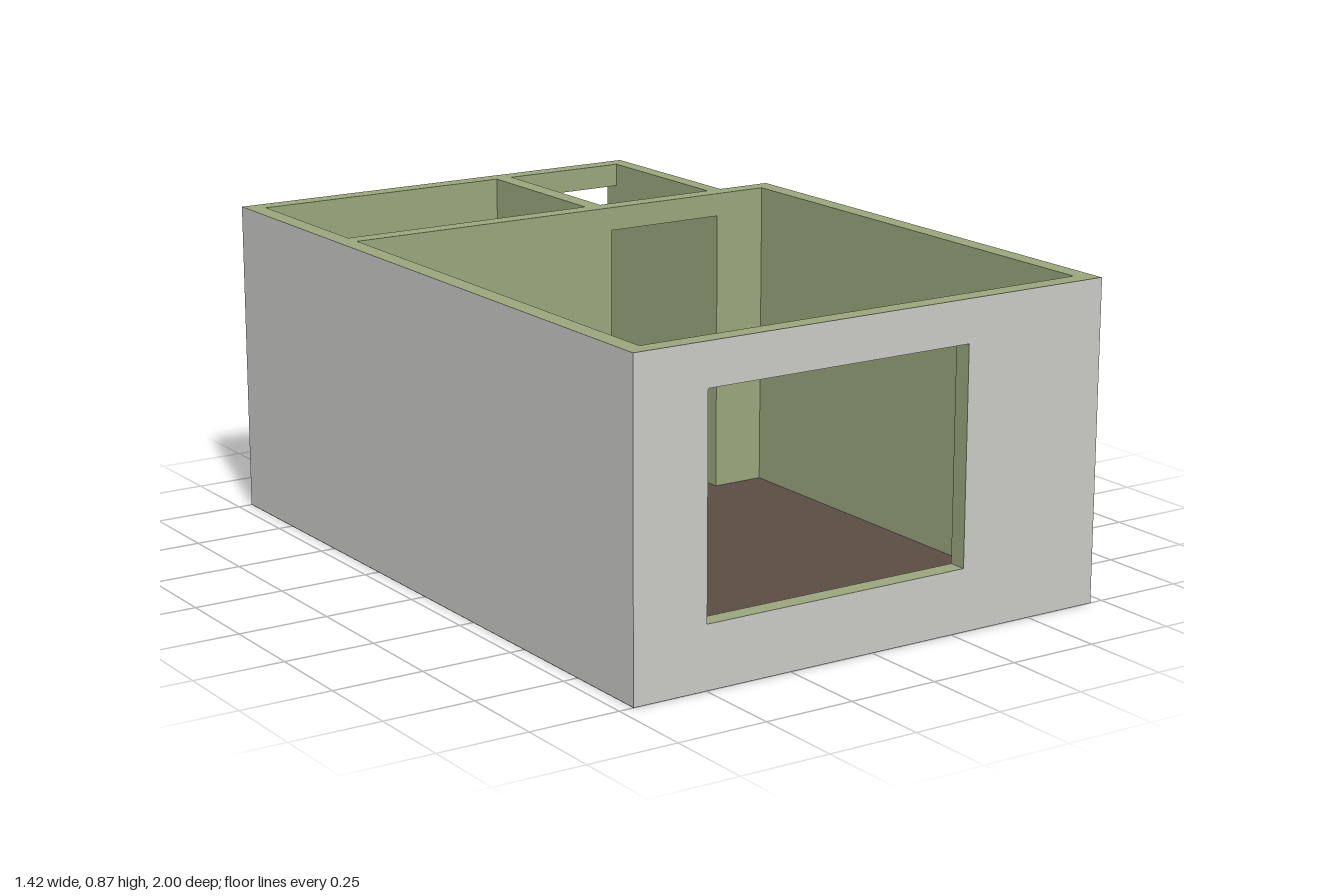
import * as THREE from 'three';

const H = 0.87;      // wall height
const DOOR = 0.805;  // door head height
const BASE = 0.001;  // walls sit just above the floor sheet
const T = 0.05;      // wall thickness

export function createModel() {
  const green = new THREE.MeshStandardMaterial({ color: 0x9aa67b });
  green.name = 'greenWall';
  const grey = new THREE.MeshStandardMaterial({ color: 0xc9c9c5 });
  grey.name = 'greyFacade';
  const brown = new THREE.MeshStandardMaterial({ color: 0x5a4d43, side: THREE.DoubleSide });
  brown.name = 'brownFloor';

  const model = new THREE.Group();
  model.name = 'roomShell';

  const outline = (pts) => new THREE.Shape(pts.map(([x, y]) => new THREE.Vector2(x, y)));
  const rect = (x0, x1, y0, y1) => [[x0, y0], [x1, y0], [x1, y1], [x0, y1]];
  const add = (name, geometry, material) => {
    const mesh = new THREE.Mesh(geometry, material);
    mesh.name = name;
    model.add(mesh);
    return mesh;
  };
  const extrude = (shape) => new THREE.ExtrudeGeometry(shape, { depth: T, bevelEnabled: false });
  const sideWall = (name, x0, x1, z0, z1, material) => {
    const box = add(name, new THREE.BoxGeometry(x1 - x0, H - BASE, z1 - z0), material);
    box.position.set((x0 + x1) / 2, (H + BASE) / 2, (z0 + z1) / 2);
  };

  // Floor sheet following the stepped footprint
  const footprint = outline([[-0.71, -1], [0.71, -1], [0.71, 0.47], [0.55, 0.47], [0.55, 1], [-0.71, 1]]);
  add('floor', new THREE.ShapeGeometry(footprint).rotateX(-Math.PI / 2), brown);

  // Long side walls; the -x wall is grey on its outer face
  sideWall('rightWall', -0.71, -0.66, -1, 1, [green, grey, green, green, green, green]);
  sideWall('leftWall', 0.66, 0.71, -0.47, 1, green);
  sideWall('leftBackWall', 0.505, 0.55, -1, -0.47, green);

  // Front wall with its window, and a grey facing over the outside
  const withWindow = (halfWidth) => {
    const shape = outline(rect(-halfWidth, halfWidth, BASE, H));
    shape.holes.push(outline(rect(-0.5, 0.285, 0.17, 0.755)));
    return shape;
  };
  add('frontWall', extrude(withWindow(0.66)), green).position.z = 0.95;
  add('frontFacing', new THREE.ShapeGeometry(withWindow(0.71)), grey).position.z = 1.002;

  // Middle wall with a doorway
  const middle = outline([[-0.66, BASE], [0.145, BASE], [0.145, DOOR], [0.505, DOOR],
    [0.505, BASE], [0.66, BASE], [0.66, H], [-0.66, H]]);
  add('middleWall', extrude(middle), green).position.z = -0.47;

  // Back wall with a doorway up to the side wall
  const back = outline([[-0.66, BASE], [0.14, BASE], [0.14, DOOR], [0.505, DOOR], [0.505, H], [-0.66, H]]);
  add('backWall', extrude(back), green).position.z = -1;

  // Partition between the two back rooms, open beside the middle wall
  const partition = outline([[-0.95, BASE], [-0.735, BASE], [-0.735, DOOR], [-0.47, DOOR], [-0.47, H], [-0.95, H]]);
  add('partition', extrude(partition).rotateY(-Math.PI / 2), green).position.x = 0.14;

  return model;
}
